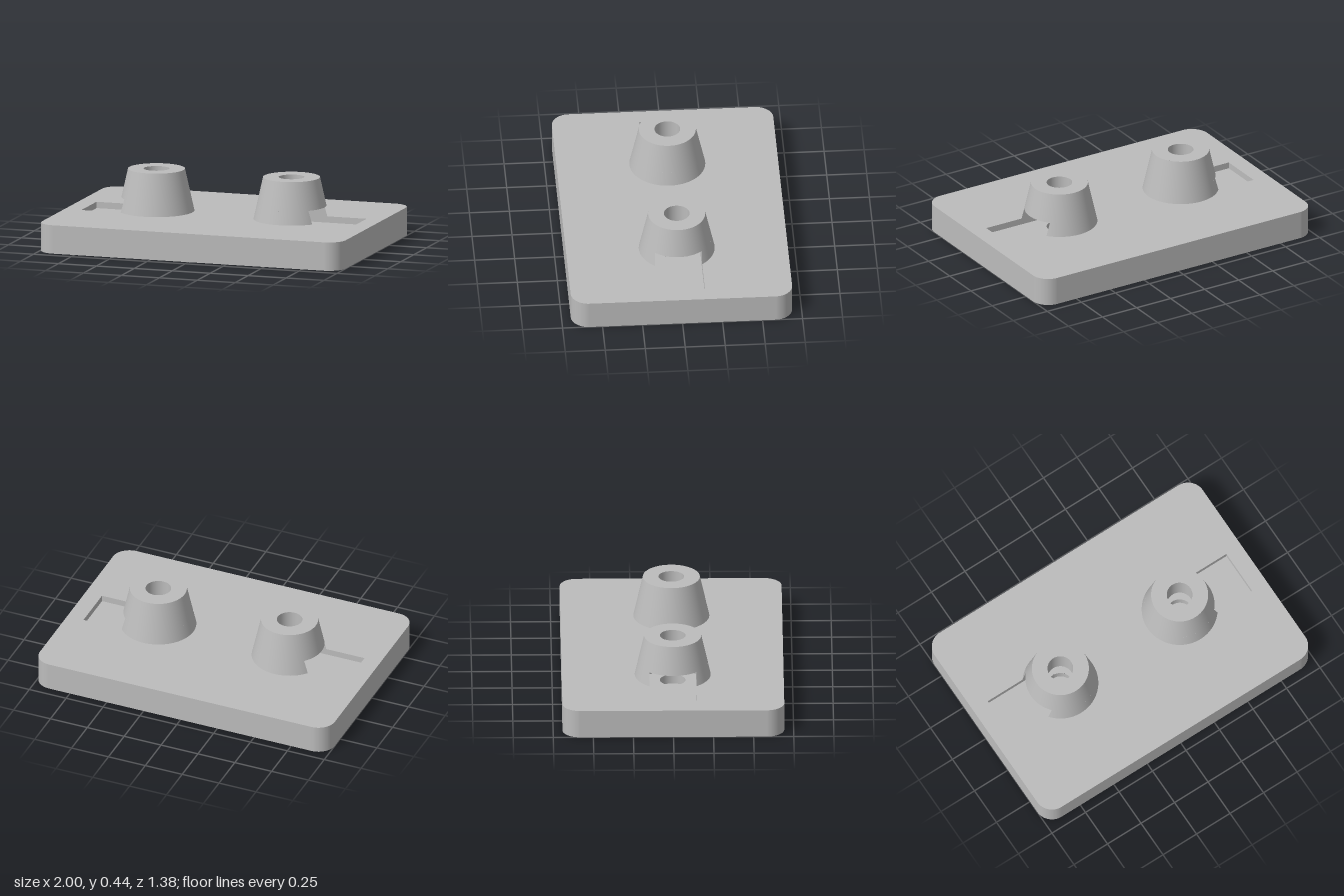
import * as THREE from 'three';
import { ParametricGeometry } from 'three/addons/geometries/ParametricGeometry.js';

const W = 1, D = 0.692, CORNER = 0.11;              // plate half sizes and corner radius
const TOP = 0.18, FLOOR = 0.14, ROOF = 0.265, PEAK = 0.445, BORE_END = 0.08;
const CX = 0.445, HALF = 0.147, SLOT_END = 0.89, BORE = 0.08;
const postRadius = y => 0.237 - 0.059 * (y - TOP) / (PEAK - TOP);

const grey = new THREE.MeshStandardMaterial({ color: 0xbcbcbc });
grey.name = 'grey plastic';

function add(group, name, geometry) {
  const mesh = new THREE.Mesh(geometry, grey);
  mesh.name = name;
  group.add(mesh);
}

// Flat facets between a lower and an upper path of [x, z] points
function strip(low, high, y0, y1) {
  const v = [];
  for (let i = 0; i < low.length - 1; i++) {
    const a = [low[i][0], y0, low[i][1]], b = [low[i + 1][0], y0, low[i + 1][1]];
    const c = [high[i + 1][0], y1, high[i + 1][1]], d = [high[i][0], y1, high[i][1]];
    v.push(...a, ...b, ...c, ...a, ...c, ...d);
  }
  const g = new THREE.BufferGeometry();
  g.setAttribute('position', new THREE.Float32BufferAttribute(v, 3));
  g.computeVertexNormals();
  return g;
}

// Horizontal face at height y, facing up or down
const cap = (shape, y, up = true) =>
  new THREE.ShapeGeometry(shape, 48).rotateX(up ? -Math.PI / 2 : Math.PI / 2).translate(0, y, 0);

// Smooth round wall around a post axis; swapped angles turn it inside out
const roundWall = (radius, y0, y1, from, to) => new ParametricGeometry((u, v, p) => {
  const y = y0 + (y1 - y0) * v, r = radius(y);
  const t = from(r) + (to(r) - from(r)) * u;
  p.set(CX + r * Math.cos(t), y, -r * Math.sin(t));
}, 72, 4);

const circle = r => new THREE.Path().absarc(CX, 0, r, 0, Math.PI * 2);

// Slot for a captive nut: pointed inner end, straight sides
const inner = CX - HALF / Math.sqrt(3), tip = CX - 2 * HALF / Math.sqrt(3);
const slotPath = x => [[x, HALF], [inner, HALF], [tip, 0], [inner, -HALF], [x, -HALF]];
const slotPoints = (sign = 1) => slotPath(SLOT_END).map(([x, z]) => new THREE.Vector2(sign * x, z));

function createPost(name) {
  const post = new THREE.Group();
  post.name = name;
  const zero = () => 0, full = () => Math.PI * 2, bore = () => BORE;
  const notch = r => Math.asin(HALF / r);
  const edgeX = y => CX + Math.sqrt(postRadius(y) ** 2 - HALF ** 2);

  // Tapered body, open at the notch below the roof
  add(post, 'upperBody', roundWall(postRadius, ROOF, PEAK, zero, full));
  add(post, 'notchedBody', roundWall(postRadius, TOP, ROOF, notch, r => Math.PI * 2 - notch(r)));
  const rim = new THREE.Shape().absarc(CX, 0, postRadius(PEAK), 0, Math.PI * 2);
  rim.holes.push(circle(BORE));
  add(post, 'rim', cap(rim, PEAK));

  // Screw bore above and below the nut slot
  add(post, 'upperBore', roundWall(bore, ROOF, PEAK, full, zero));
  add(post, 'lowerBore', roundWall(bore, BORE_END, FLOOR, full, zero));
  add(post, 'boreEnd', cap(new THREE.Shape().absarc(CX, 0, BORE, 0, Math.PI * 2), BORE_END));

  // Nut slot floor, walls and roof
  const floor = new THREE.Shape(slotPoints());
  floor.holes.push(circle(BORE));
  add(post, 'slotFloor', cap(floor, FLOOR));
  const closed = [...slotPath(SLOT_END), [SLOT_END, HALF]];
  add(post, 'slotWalls', strip(closed, closed, FLOOR, TOP));
  add(post, 'notchWalls', strip(slotPath(edgeX(TOP)), slotPath(edgeX(ROOF)), TOP, ROOF));
  const r = postRadius(ROOF), a = notch(r);
  const roof = new THREE.Shape();
  roof.moveTo(inner, HALF).lineTo(tip, 0).lineTo(inner, -HALF);
  roof.absarc(CX, 0, r, -a, a, false);
  roof.holes.push(circle(BORE));
  add(post, 'slotRoof', cap(roof, ROOF, false));
  return post;
}

export function createModel() {
  const model = new THREE.Group();
  model.name = 'mountingPlate';

  // Rounded plate with two slot openings in its top
  const outline = () => {
    const s = new THREE.Shape(), w = W - CORNER, d = D - CORNER;
    s.absarc(w, d, CORNER, 0, Math.PI / 2);
    s.absarc(-w, d, CORNER, Math.PI / 2, Math.PI);
    s.absarc(-w, -d, CORNER, Math.PI, Math.PI * 1.5);
    s.absarc(w, -d, CORNER, Math.PI * 1.5, Math.PI * 2);
    return s.closePath();
  };
  const top = outline();
  for (const sign of [1, -1]) top.holes.push(new THREE.Path(slotPoints(sign)).closePath());
  const edge = outline().getPoints(24).map(p => [p.x, -p.y]);
  add(model, 'plateTop', cap(top, TOP));
  add(model, 'plateBottom', cap(outline(), 0, false));
  add(model, 'plateEdge', strip(edge, edge, 0, TOP));

  // Matching posts, the right one turned half way round
  model.add(createPost('leftPost'));
  const right = createPost('rightPost');
  right.rotation.y = Math.PI;
  model.add(right);
  return model;
}
